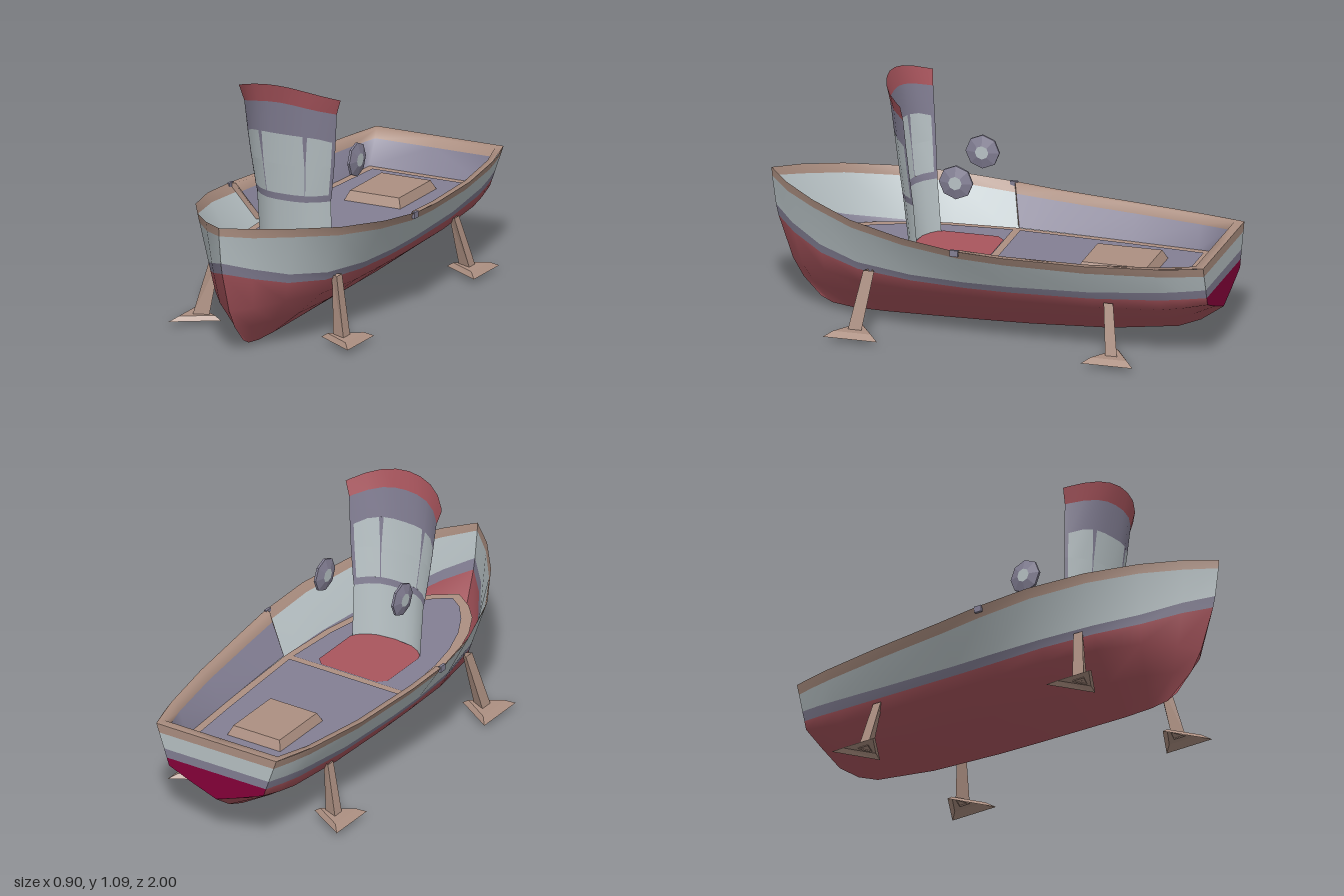
import * as THREE from 'three';

const mat = (name, color) =>
  Object.assign(new THREE.MeshStandardMaterial({ color, side: THREE.DoubleSide }), { name });

export function createModel() {
  const boat = new THREE.Group();
  boat.name = 'boat';
  const wood = mat('wood brown', 0xac8f81);
  const slate = mat('slate purple', 0x837f94);
  const red = mat('hull red', 0xa9555d);
  const grey = mat('pale grey', 0xb8c2c5);
  const crimson = mat('crimson', 0x86003a);

  const add = (name, geo, material, parent = boat) => {
    const mesh = new THREE.Mesh(geo, material);
    mesh.name = name;
    parent.add(mesh);
    return mesh;
  };
  const flat = geo => {
    const split = geo.toNonIndexed();
    split.computeVertexNormals();
    return split;
  };
  // Sheet through rows of [x, y, z] points; s = -1 mirrors it
  const sheet = (rows, s = 1) => {
    const n = rows[0].length, index = [];
    for (let i = 0; i < rows.length - 1; i++)
      for (let j = 0; j < n - 1; j++) {
        const a = i * n + j, b = a + n;
        if (s > 0) index.push(a, b, a + 1, b, b + 1, a + 1);
        else index.push(a, a + 1, b, b, a + 1, b + 1);
      }
    const geo = new THREE.BufferGeometry();
    const pos = rows.flat().flatMap(([x, y, z]) => [x * s, y, z]);
    geo.setAttribute('position', new THREE.Float32BufferAttribute(pos, 3));
    geo.setIndex(index);
    geo.computeVertexNormals();
    return geo;
  };
  const addPair = (name, rows, material) => {
    add(name + 'Left', sheet(rows, 1), material);
    add(name + 'Right', sheet(rows, -1), material);
  };
  // Flat plate from [x, z] points of the left half
  const plate = (name, half, y, material) => {
    const pts = [...half, ...half.slice().reverse().map(([x, z]) => [-x, z])];
    const geo = new THREE.ShapeGeometry(new THREE.Shape(pts.map(([x, z]) => new THREE.Vector2(x, -z))));
    geo.rotateX(-Math.PI / 2).translate(0, y, 0);
    add(name, geo, material);
  };

  // Hull stations: rail [x,y,z], chine [x,y,z], keel [y,z], band heights
  const stations = [
    [[0.305, 0.455, -1], [0.24, 0.27, -1], [0.18, -1], [0.415, 0.345, 0.305]],
    [[0.335, 0.452, -0.9], [0.255, 0.25, -0.9], [0.11, -0.9], [0.412, 0.335, 0.295]],
    [[0.36, 0.45, -0.8], [0.265, 0.235, -0.8], [0.07, -0.8], [0.41, 0.325, 0.285]],
    [[0.41, 0.45, -0.5], [0.28, 0.22, -0.5], [0.03, -0.5], [0.41, 0.305, 0.27]],
    [[0.44, 0.46, -0.15], [0.285, 0.215, -0.15], [0.012, -0.15], [0.42, 0.295, 0.262]],
    [[0.45, 0.473, 0.05], [0.285, 0.215, 0.05], [0.007, 0.05], [0.433, 0.295, 0.262]],
    [[0.425, 0.5, 0.3], [0.28, 0.215, 0.29], [0.003, 0.28], [0.46, 0.3, 0.268]],
    [[0.35, 0.53, 0.55], [0.245, 0.215, 0.535], [0, 0.5], [0.49, 0.315, 0.28]],
    [[0.235, 0.56, 0.75], [0.17, 0.22, 0.715], [0.003, 0.64], [0.52, 0.345, 0.305]],
    [[0.115, 0.582, 0.9], [0.08, 0.21, 0.84], [0.015, 0.73], [0.54, 0.395, 0.35]],
    [[0, 0.597, 1], [0, 0.2, 0.905], [0.04, 0.78], [0.56, 0.435, 0.385]],
  ];
  const sections = stations.map(([rail, chine, keel, bands]) => {
    const bow = Math.max(0, rail[2] - 0.8) / 0.2;
    const at = y => {
      const t = (y - chine[1]) / (rail[1] - chine[1]);
      const p = rail.map((r, k) => chine[k] + (r - chine[k]) * t);
      p[2] += 0.08 * bow * t * (1 - t);
      return p;
    };
    const bilge = [chine[0] * 0.53, chine[1] * 0.5 + keel[0] * 0.5, (chine[2] + keel[1]) / 2 + 0.015 * bow];
    return [rail, ...bands.map(at), chine, bilge, [0, keel[0], keel[1]]];
  });
  const bandSpecs = [['railBand', 0, 1, wood], ['topside', 1, 2, grey],
    ['waterline', 2, 3, slate], ['bottom', 3, 6, red]];
  for (const [name, from, to, m] of bandSpecs) {
    addPair(name, sections.map(s => s.slice(from, to + 1)), m);
    // Matching band across the transom
    const edge = sections[0].slice(from, to + 1);
    add('transom_' + name, sheet([edge.map(([x, y, z]) => [-x, y, z]), edge]), m === red ? crimson : m);
  }

  // Aft bulwark: rail top, inner lip, inner wall and its forward end
  const deckY = 0.315;
  const bulwark = [
    [[0, 0.455, -1], [0, 0.455, -0.96], [0, 0.42, -0.94], [0, deckY, -0.88]],
    [[0.305, 0.455, -1], [0.285, 0.455, -0.96], [0.28, 0.42, -0.94], [0.275, deckY, -0.88]],
    [[0.36, 0.45, -0.8], [0.333, 0.45, -0.8], [0.32, 0.415, -0.8], [0.28, deckY, -0.8]],
    [[0.41, 0.45, -0.5], [0.383, 0.45, -0.5], [0.368, 0.415, -0.5], [0.298, deckY, -0.5]],
    [[0.44, 0.46, -0.15], [0.413, 0.46, -0.15], [0.396, 0.425, -0.15], [0.315, deckY, -0.15]],
    [[0.45, 0.474, 0.06], [0.423, 0.472, 0.048], [0.405, 0.435, 0.04], [0.32, deckY, 0]],
  ];
  addPair('railTop', bulwark.map(r => r.slice(0, 3).reverse()), wood);
  addPair('innerWall', bulwark.map(r => r.slice(2).reverse()), slate);
  const [endOuter, endTop, endLip, endFoot] = bulwark[5];
  addPair('bulwarkEnd', [[endOuter, endTop, endLip], [[0.345, deckY, 0.012], endFoot, endFoot]], wood);

  // Deck with wooden margins, two painted panels and the red cabin floor
  plate('deckMargin', [[0.278, -0.88], [0.3, -0.5], [0.318, 0], [0.298, 0.3], [0.27, 0.45], [0.222, 0.6],
    [0.16, 0.72], [0.088, 0.8], [0.001, 0.86]], deckY, wood);
  plate('aftDeck', [[0.24, -0.84], [0.262, -0.5], [0.283, -0.015]], deckY + 0.004, slate);
  plate('foreDeck', [[0.283, 0.015], [0.264, 0.28], [0.236, 0.43], [0.188, 0.57], [0.13, 0.68],
    [0.065, 0.765], [0.001, 0.81]], deckY + 0.004, slate);
  plate('cabinFloor', [[0.14, 0.015], [0.175, 0.05], [0.175, 0.29], [0.15, 0.33], [0.09, 0.36], [0.001, 0.37]],
    deckY + 0.008, red);

  // Hatch with bevelled sides
  const hatch = new THREE.CylinderGeometry(Math.SQRT1_2, Math.SQRT1_2 * 1.16, 1, 4, 1);
  hatch.rotateY(Math.PI / 4).scale(0.235, 0.045, 0.285).translate(0, deckY + 0.0225, -0.55);
  add('hatch', flat(hatch), wood);

  // Curved windscreen leaning forward
  const half = [0, 0.25, 0.5, 0.75, 0.95, 1];
  const cols = [...half.slice(1).reverse().map(u => -u), ...half];
  const width = y => 0.172 + 0.05 * Math.min(1, Math.max(0, (y - 0.54) / 0.4)) ** 0.7;
  const screenPoint = (u, y) =>
    [u * width(y), y, 0.335 + 0.12 * y - (0.08 + 0.04 * (y - 0.5)) * Math.abs(u) ** 3];
  const topY = u => 1.005 - 0.05 * u * u;
  const windowTop = u => 0.86 - 0.04 * u ** 4;
  const screenBand = (name, low, high, m, lowCols = cols, highCols = cols) =>
    add(name, sheet([highCols.map(u => screenPoint(u, high(u))), lowCols.map(u => screenPoint(u, low(u)))]), m);
  const level = y => () => y;
  const sill = level(0.585), middle = level(0.72);
  screenBand('screenBase', level(deckY), level(0.555), grey);
  screenBand('screenStripe', level(0.555), sill, slate);
  screenBand('screenHeader', windowTop, topY, slate);
  // Windows in two tiers; the mullions widen towards the header
  for (const [low, high, a, b] of [[sill, middle, 0.01, 0.012], [middle, windowTop, 0.012, 0.045]]) {
    const centre = w => [w - 0.5, -0.25, 0, 0.25, 0.5 - w];
    screenBand('centreWindow', low, high, grey, centre(a), centre(b));
    for (const s of [-1, 1]) {
      const parts = [['mullion', w => [0.5 - w, 0.5 + w], slate],
        ['sideWindow', w => [0.5 + w, 0.75, 0.95], grey], ['screenEdge', () => [0.95, 1], slate]];
      for (const [name, span, m] of parts) {
        const place = w => span(w).map(u => u * s).sort((p, q) => p - q);
        screenBand(name, low, high, m, place(a), place(b));
      }
    }
  }
  // Red flared visor on top
  const visorEdge = cols.map(u => {
    const [x, , z] = screenPoint(u, topY(u));
    return [x * 1.1, 1.087 - 0.065 * u * u, z + 0.022 - 0.015 * Math.abs(u)];
  });
  add('visor', sheet([visorEdge, cols.map(u => screenPoint(u, topY(u)))]), red);

  // Three-cornered stands
  const stand = (s, z, spread, topZ, topHeight, w) => {
    const group = new THREE.Group();
    group.name = 'stand';
    const ring = (cx, y, cz, dx, dz) => [[cx + dx * 0.5, y, cz + dz], [cx + dx * 0.5, y, cz - dz],
      [cx - dx * 0.5, y, cz], [cx + dx * 0.5, y, cz + dz]];
    add('standFoot', flat(sheet([ring(0.335, 0.02, z, 0.19, spread), ring(0.335, 0.04, z, 0.13, spread * 0.7),
      ring(0.335, 0.04, z, 0.001, 0.001)], s)), wood, group);
    add('standPost', flat(sheet([ring(0.33, 0.035, z, 0.065, w),
      ring(0.285, topHeight, topZ, 0.035, w * 0.8)], s)), wood, group);
    boat.add(group);
  };
  for (const s of [-1, 1]) {
    stand(s, 0.525, 0.12, 0.48, 0.29, 0.03);
    stand(s, -0.61, 0.115, -0.58, 0.255, 0.026);

    // Octagonal side lamp, bevelled on both faces
    const lamp = new THREE.Group();
    lamp.name = 'sideLamp';
    const profile = [[0.03, -0.018], [0.075, -0.005], [0.075, 0.005], [0.03, 0.018]];
    const rim = new THREE.LatheGeometry(profile.map(([r, y]) => new THREE.Vector2(r, y)), 8);
    add('lampRim', flat(rim), slate, lamp);
    add('lampLens', new THREE.CylinderGeometry(0.03, 0.03, 0.036, 8), grey, lamp);
    lamp.rotation.z = -s * Math.PI / 2;
    lamp.position.set(s * 0.197, 0.69, 0.125);
    boat.add(lamp);

    // Small fitting on the rail
    const fitting = new THREE.BoxGeometry(0.012, 0.028, 0.035);
    fitting.translate(s * 0.444, 0.463, 0.06);
    add('railFitting', fitting, slate);
  }
  return boat;
}
